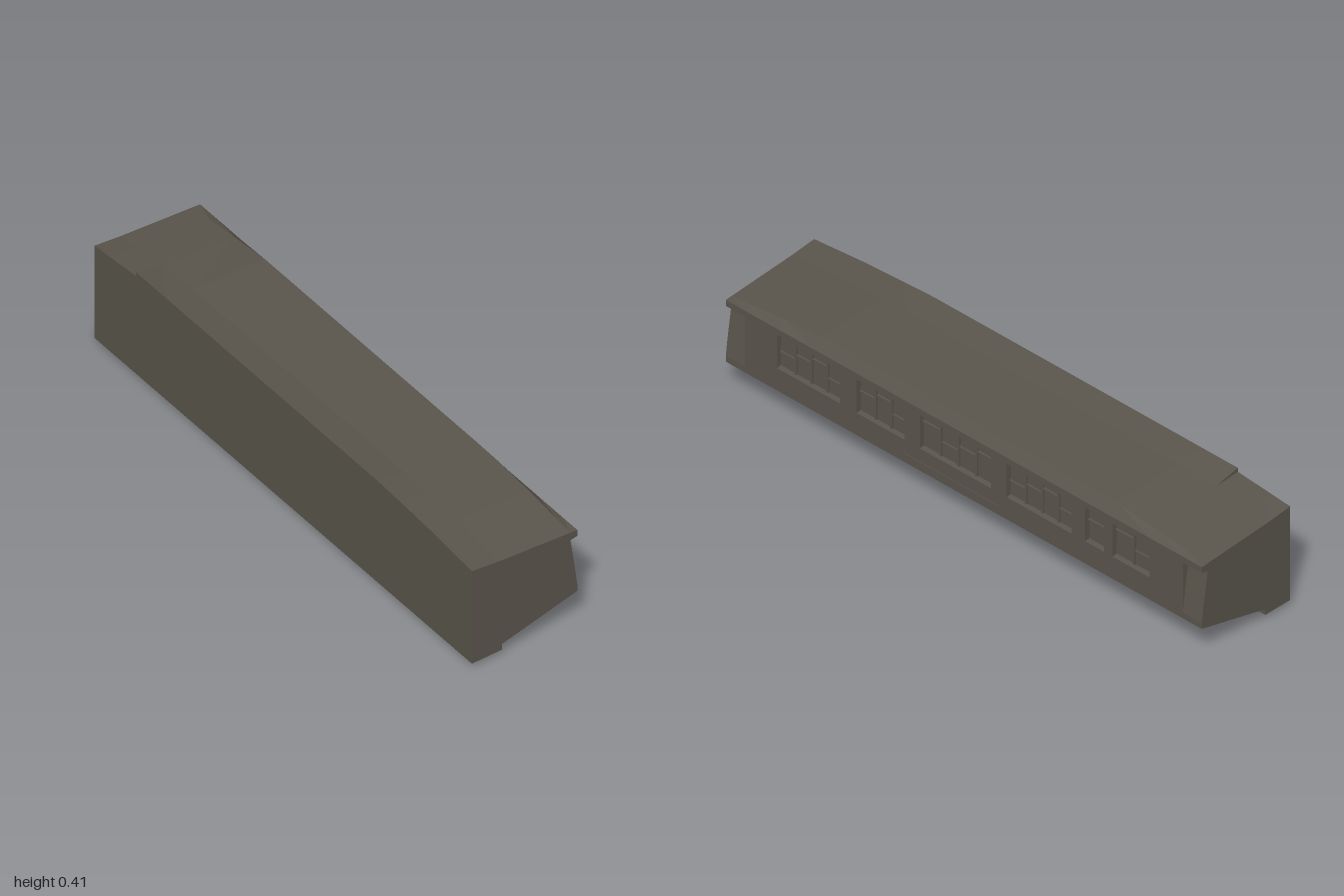
import * as THREE from 'three';

const mat = new THREE.MeshStandardMaterial({ color: 0x5a554c, flatShading: true, side: THREE.DoubleSide });
mat.name = 'drab grey';

// window openings along z, front to rear
const windows = [[0.785, 0.52], [0.45, 0.25], [0.185, -0.115], [-0.18, -0.453], [-0.51, -0.59], [-0.625, -0.78]];
const endRecess = 0.92;

// roof heights along z: [z, eave side, middle, flat wall side]
const roofKeys = [
  [1, 0.364, 0.373, 0.38], [0.78, 0.388, 0.395, 0.4], [0.62, 0.4, 0.404, 0.409], [0.5, 0.402, 0.405, 0.415],
  [-0.62, 0.402, 0.405, 0.415], [-0.78, 0.386, 0.397, 0.415], [-0.7801, 0.386, 0.397, 0.4], [-1, 0.364, 0.373, 0.38],
];

function roofAt(z) {
  for (let i = 0; i < roofKeys.length - 1; i++) {
    const a = roofKeys[i], b = roofKeys[i + 1];
    if (z >= b[0]) {
      const t = (a[0] - z) / (a[0] - b[0]);
      return [1, 2, 3].map((k) => a[k] + (b[k] - a[k]) * t);
    }
  }
  return roofKeys[roofKeys.length - 1].slice(1);
}

// cross-section, counter-clockwise seen from the front
function section(z, kind) {
  const [g, h, i] = roofAt(z);
  const wall = {
    end: [[0.188, 0.212], [0.1878, 0.214], [0.17, 0.335]],
    flush: [[0.196, 0.212], [0.196, 0.214], [0.196, 0.335]],
    window: [[0.196, 0.212], [0.178, 0.214], [0.176, 0.335]],
  }[kind];
  return [[-0.2, 0.022], [-0.088, 0.026], [-0.088, 0.048], [0.196, 0.127], [0.196, 0.15],
    ...wall, [0.196, 0.34], [0.196, 0.363], [0.17, g], [-0.1, h], [-0.2, i]]
    .map(([x, y]) => new THREE.Vector3(x, y, z));
}

function bodyGeometry() {
  const breaks = [...new Set([...roofKeys.map((k) => k[0]), ...windows.flat(), endRecess, -endRecess])].sort((a, b) => b - a);
  const rings = [];
  for (let i = 0; i < breaks.length - 1; i++) {
    const mid = (breaks[i] + breaks[i + 1]) / 2;
    const kind = Math.abs(mid) > endRecess ? 'end' : windows.some(([a, b]) => mid < a && mid > b) ? 'window' : 'flush';
    rings.push(section(breaks[i], kind), section(breaks[i + 1], kind));
  }
  const pos = [];
  const tri = (a, b, c) => {
    const area = b.clone().sub(a).cross(c.clone().sub(a)).length();
    if (area > 1e-8) for (const p of [a, b, c]) pos.push(p.x, p.y, p.z);
  };
  for (let r = 0; r < rings.length - 1; r++) {
    const p = rings[r], q = rings[r + 1];
    p.forEach((a, i) => {
      const j = (i + 1) % p.length;
      tri(a, q[i], p[j]);
      tri(p[j], q[i], q[j]);
    });
  }
  // end walls
  const first = rings[0], last = rings[rings.length - 1];
  const caps = (ring) => THREE.ShapeUtils.triangulateShape(ring.map((p) => new THREE.Vector2(p.x, p.y)), []);
  for (const [a, b, c] of caps(first)) tri(first[a], first[b], first[c]);
  for (const [a, b, c] of caps(last)) tri(last[a], last[c], last[b]);
  const geo = new THREE.BufferGeometry();
  geo.setAttribute('position', new THREE.Float32BufferAttribute(pos, 3));
  geo.computeVertexNormals();
  return geo;
}

export function createModel() {
  const group = new THREE.Group();
  const add = (name, geo, parent = group) => {
    const m = new THREE.Mesh(geo, mat);
    m.name = name;
    parent.add(m);
    return m;
  };
  // box given by its limits
  const box = (name, x0, x1, y0, y1, z0, z1, parent) =>
    add(name, new THREE.BoxGeometry(x1 - x0, y1 - y0, z1 - z0), parent)
      .position.set((x0 + x1) / 2, (y0 + y1) / 2, (z0 + z1) / 2);
  const tube = (name, pts, r) =>
    add(name, new THREE.TubeGeometry(new THREE.CatmullRomCurve3(pts.map((p) => new THREE.Vector3(...p)), false, 'catmullrom', 0.1), 16, r, 6));

  add('carBody', bodyGeometry());

  // window bars, set back in each opening
  const bars = new THREE.Group();
  bars.name = 'windowBars';
  group.add(bars);
  windows.forEach(([a, b], w) => {
    const n = Math.max(1, Math.round((a - b) / 0.07));
    for (let i = 1; i < n; i++) {
      const z = a + (b - a) * i / n;
      box('uprightBar', 0.174, 0.184, 0.214, 0.335, z - 0.004, z + 0.004, bars);
    }
    for (let i = 0; i < n; i++) {
      const z = a + (b - a) * (i + 0.5) / n, half = (a - b) / n / 2;
      const y = 0.265 + 0.02 * ((i + w) % 3);
      box('crossBar', 0.174, 0.183, y, y + 0.006, z - half, z + half, bars);
    }
  });

  // thin rail below the windows
  box('sideRail', 0.194, 0.198, 0.158, 0.162, -0.15, 0.25);

  // shallow panels on both end walls
  for (const s of [1, -1]) {
    const z = s * 0.998;
    box('endHeaderPanel', -0.075, 0.045, 0.34, 0.362, z - 0.002, z + 0.002);
  }

  // equipment under the floor
  box('equipmentBox', -0.088, 0.04, 0.028, 0.088, 0.335, 0.405);
  tube('longPipe', [[-0.02, 0.062, 0.62], [-0.02, 0.055, 0.4], [-0.02, 0.05, 0], [-0.02, 0.05, -0.6], [-0.02, 0.06, -0.75]], 0.006);
  tube('upperPipe', [[-0.05, 0.05, 0.33], [-0.05, 0.048, -0.2], [-0.05, 0.048, -0.78]], 0.005);
  for (const z of [0.5, 0.1, -0.25, -0.45, -0.75]) box('pipeBracket', -0.06, -0.01, 0.04, 0.066, z - 0.012, z + 0.012);
  tube('rearPipe', [[-0.03, 0.052, -0.76], [0.02, 0.07, -0.8], [0.065, 0.086, -0.82]], 0.006);
  tube('frontPipe', [[-0.06, 0.048, 0.58], [0, 0.066, 0.57], [0.065, 0.086, 0.56]], 0.006);
  box('hookMount', -0.085, -0.05, 0.04, 0.054, 0.59, 0.64);
  tube('hangingHook', [[-0.078, 0.045, 0.62], [-0.076, 0.025, 0.62], [-0.071, 0.007, 0.62]], 0.0065);
  return group;
}
